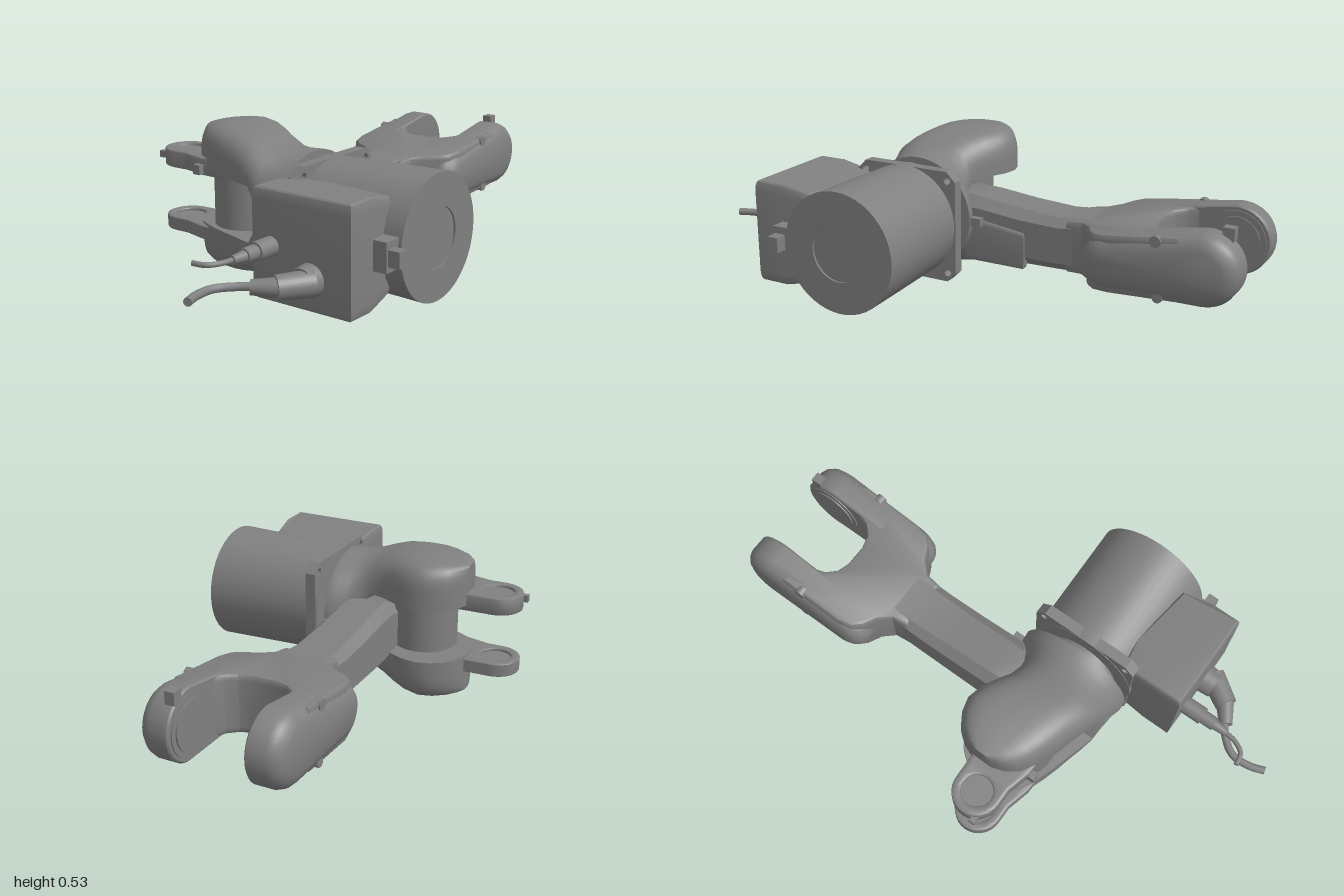
import * as THREE from 'three';
import { toCreasedNormals } from 'three/addons/utils/BufferGeometryUtils.js';

const V = (x, y, z) => new THREE.Vector3(x, y, z);
const MID = 0.265; // height of the symmetry plane
const ARM_Z = -0.063; // centre plane of the arm

// Solid skin over a list of closed rings, capped at both ends
function loft(rings, crease = 0.6) {
  const n = rings[0].length, pts = rings.flat(), idx = [];
  for (let i = 0; i < rings.length - 1; i++) {
    for (let j = 0; j < n; j++) {
      const a = i * n + j, b = i * n + (j + 1) % n;
      idx.push(a, b, b + n, a, b + n, a + n);
    }
  }
  [0, rings.length - 1].forEach((r, end) => {
    const c = V(0, 0, 0);
    rings[r].forEach(p => c.addScaledVector(p, 1 / n));
    pts.push(c);
    for (let j = 0; j < n; j++) {
      const a = r * n + j, b = r * n + (j + 1) % n;
      if (end) idx.push(a, b, pts.length - 1); else idx.push(b, a, pts.length - 1);
    }
  });
  // Turn the skin outwards if its signed volume is negative
  let vol = 0;
  for (let i = 0; i < idx.length; i += 3)
    vol += pts[idx[i]].dot(V(0, 0, 0).crossVectors(pts[idx[i + 1]], pts[idx[i + 2]]));
  if (vol < 0) idx.reverse();
  const g = new THREE.BufferGeometry().setFromPoints(pts);
  g.setIndex(idx);
  return toCreasedNormals(g, crease);
}

// Plan outline [x, z] raised between two height rules, with softened rims
function planSolid(outline, bottom, top, bevel, holes = []) {
  const shape = new THREE.Shape(outline.map(([x, z]) => new THREE.Vector2(x, -z)));
  holes.forEach(([x, z, r]) => shape.holes.push(new THREE.Path().absarc(x, -z, r, 0, Math.PI * 2)));
  const g = new THREE.ExtrudeGeometry(shape, {
    depth: 0.8, bevelThickness: 0.1, bevelSize: bevel, bevelOffset: -bevel, bevelSegments: 3, curveSegments: 24,
  });
  g.rotateX(-Math.PI / 2);
  const p = g.attributes.position;
  for (let i = 0; i < p.count; i++) {
    const x = p.getX(i), b = bottom(x);
    p.setY(i, b + (p.getY(i) + 0.1) * (top(x) - b));
  }
  return toCreasedNormals(g, 0.5);
}

const ramp = (x0, y0, x1, y1) => x => y0 + (y1 - y0) * THREE.MathUtils.clamp((x - x0) / (x1 - x0), 0, 1);

export function createModel() {
  const model = new THREE.Group();
  const grey = new THREE.MeshStandardMaterial({ color: 0x808080 });
  grey.name = 'machine grey';
  const add = (name, geo) => {
    const m = new THREE.Mesh(geo, grey);
    m.name = name;
    model.add(m);
    return m;
  };
  const box = (name, x0, x1, y0, y1, z0, z1) =>
    add(name, new THREE.BoxGeometry(x1 - x0, y1 - y0, z1 - z0))
      .position.set((x0 + x1) / 2, (y0 + y1) / 2, (z0 + z1) / 2);
  const rod = (name, a, b, ra, rb = ra, sides = 32) => {
    const d = b.clone().sub(a);
    const m = add(name, new THREE.CylinderGeometry(rb, ra, d.length(), sides));
    m.position.copy(a).addScaledVector(d, 0.5);
    m.quaternion.setFromUnitVectors(V(0, 1, 0), d.normalize());
  };

  // Base drum with a shallow round recess in its front
  const drum = new THREE.LatheGeometry(
    [[0, 0.12], [0.205, 0.12], [0.216, 0.577], [0.102, 0.577], [0.102, 0.57], [0, 0.57]]
      .map(p => new THREE.Vector2(...p)), 48);
  drum.rotateX(Math.PI / 2);
  add('baseDrum', toCreasedNormals(drum, 0.5)).position.set(-0.243, 0.26, 0);

  // Square mounting flange with bolt holes
  const sq = new THREE.Shape();
  const k = 0.205, c = 0.035;
  [[-k + c, -k], [k - c, -k], [k, -k + c], [k, k - c], [k - c, k], [-k + c, k], [-k, k - c], [-k, -k + c]]
    .forEach(([x, y], i) => (i ? sq.lineTo(x, y) : sq.moveTo(x, y)));
  for (const sx of [-1, 1]) for (const sy of [-1, 1]) {
    sq.holes.push(new THREE.Path().absarc(sx * 0.172, sy * 0.172, 0.013, 0, Math.PI * 2));
  }
  add('mountingFlange', new THREE.ExtrudeGeometry(sq, { depth: 0.04, bevelEnabled: false }))
    .position.set(-0.238, 0.258, 0.122);

  // Connection box beside the drum
  add('connectionBox', planSolid(
    [[-0.632, 0.13], [-0.52, 0.13], [-0.39, 0.135], [-0.37, 0.25], [-0.405, 0.5], [-0.52, 0.515], [-0.632, 0.515]],
    ramp(-0.52, 0.073, -0.39, 0.1), ramp(-0.52, 0.443, -0.39, 0.418), 0.01));
  box('plugBase', -0.52, -0.44, 0.21, 0.31, 0.5, 0.565);
  box('plug', -0.512, -0.472, 0.23, 0.285, 0.5, 0.607);

  // Cable fittings and cables
  rod('powerSocket', V(-0.62, 0.18, 0.36), V(-0.68, 0.18, 0.36), 0.055, 0.05);
  rod('powerElbow', V(-0.65, 0.18, 0.385), V(-0.75, 0.18, 0.32), 0.045, 0.04);
  rod('powerGland', V(-0.735, 0.18, 0.335), V(-0.79, 0.18, 0.255), 0.034, 0.024);
  rod('signalSocket', V(-0.62, 0.26, 0.205), V(-0.71, 0.26, 0.205), 0.032);
  rod('signalCollar', V(-0.70, 0.26, 0.205), V(-0.76, 0.26, 0.205), 0.025);
  rod('signalGland', V(-0.75, 0.26, 0.205), V(-0.81, 0.26, 0.203), 0.02, 0.014);
  const cable = (name, r, ...p) => {
    add(name, new THREE.TubeGeometry(new THREE.CatmullRomCurve3(p), 24, r, 10));
    rod(name + 'End', p[p.length - 1], p[p.length - 1].clone().lerp(p[p.length - 2], 0.02), r);
  };
  cable('powerCable', 0.014, V(-0.77, 0.18, 0.28), V(-0.81, 0.18, 0.22), V(-0.87, 0.18, 0.175),
    V(-0.94, 0.18, 0.175), V(-0.995, 0.18, 0.193));
  cable('signalCable', 0.009, V(-0.8, 0.26, 0.203), V(-0.85, 0.26, 0.195), V(-0.89, 0.26, 0.17), V(-0.9, 0.26, 0.125));

  // Turning neck between base and shoulder
  rod('turningNeck', V(-0.245, MID, 0.16), V(-0.245, MID, 0.04), 0.137, 0.137, 40);
  rod('neckCollar', V(-0.245, MID, 0.105), V(-0.245, MID, 0.085), 0.15, 0.15, 40);
  box('stopTab', -0.05, 0.015, 0.245, 0.275, 0.045, 0.07);

  // Shoulder halves: z, left x, right x, inner height, outer height, squareness
  const stations = [
    [0.08, -0.455, -0.022, 0, 0.21, 2], [0.05, -0.455, -0.025, 0, 0.21, 2],
    [0.02, -0.445, -0.055, 0, 0.21, 2.1], [-0.03, -0.435, -0.088, 0.04, 0.216, 2.4],
    [-0.07, -0.428, -0.1, 0.1, 0.228, 2.7], [-0.12, -0.415, -0.09, 0.1, 0.245, 3],
    [-0.17, -0.4, -0.064, 0.1, 0.256, 3.3], [-0.22, -0.387, -0.04, 0.1, 0.262, 3.6],
    [-0.28, -0.368, -0.03, 0.1, 0.265, 4], [-0.33, -0.35, -0.043, 0.1, 0.262, 4],
    [-0.375, -0.325, -0.072, 0.1, 0.256, 4], [-0.405, -0.285, -0.11, 0.1, 0.25, 4],
    [-0.422, -0.235, -0.155, 0.1, 0.245, 4],
  ];
  for (const s of [1, -1]) {
    const rings = stations.map(([z, l, r, yi, yo, n]) => {
      const ring = [];
      for (let i = 0; i <= 24; i++) {
        const a = Math.PI * i / 24, co = Math.cos(a), si = Math.abs(Math.sin(a));
        ring.push(V((l + r) / 2 + (r - l) / 2 * Math.sign(co) * Math.abs(co) ** (2 / n),
          MID + s * (yi + (yo - yi) * si ** (2 / n)), z));
      }
      return ring;
    });
    add(s > 0 ? 'shoulderUpperLobe' : 'shoulderLowerLobe', loft(rings, 0.7));
  }
  rod('shoulderCap', V(-0.19, 0.02, -0.27), V(-0.19, 0, -0.27), 0.06, 0.06);
  rod('drainPlug', V(-0.24, 0.06, -0.01), V(-0.24, 0.02, -0.01), 0.018);

  // Wrist yoke held between the shoulder lobes
  rod('yokeHub', V(-0.235, 0.15, -0.235), V(-0.235, 0.38, -0.235), 0.12, 0.12, 40);
  const yoke = [[-0.355, -0.22], [-0.352, -0.36], [-0.33, -0.45]];
  for (let i = 0; i <= 16; i++) {
    const a = Math.PI * i / 16;
    yoke.push([-0.245 - 0.086 * Math.cos(a), -0.513 - 0.088 * Math.sin(a)]);
  }
  yoke.push([-0.155, -0.4], [-0.14, -0.22]);
  for (const s of [1, -1]) {
    const lo = s > 0 ? 0.343 : 0.103, hi = s > 0 ? 0.41 : 0.157;
    add('yokeProng', planSolid(yoke, () => lo, () => hi, 0.012, [[-0.245, -0.513, 0.055]]));
    rod('yokeBearing', V(-0.245, lo + 0.012, -0.513), V(-0.245, hi - 0.012, -0.513), 0.057);
  }
  box('yokeNub', -0.302, -0.28, 0.365, 0.39, -0.608, -0.58);
  box('yokeSideNub', -0.375, -0.345, 0.35, 0.385, -0.37, -0.34);

  // Arm shank: x, bottom, top, chamfer
  const shank = [[-0.2, 0.16, 0.32, 0.04], [-0.1, 0.12, 0.345, 0.04], [0, 0.115, 0.338, 0.035],
    [0.15, 0.115, 0.322, 0.035], [0.3, 0.12, 0.311, 0.03], [0.42, 0.124, 0.322, 0.03]];
  add('armShank', loft(shank.map(([x, b, t, h]) => {
    const w = 0.103;
    return [[-w + h, b], [w - h, b], [w, b + h], [w, t - h], [w - h, t], [-w + h, t], [-w, t - h], [-w, b + h]]
      .map(([z, y]) => V(x, y, ARM_Z + z));
  }), 0.4));
  add('armCover', planSolid([[-0.06, 0], [0.15, 0], [0.18, 0.02], [0.18, 0.048], [-0.06, 0.048]],
    () => 0.105, ramp(0, 0.27, 0.18, 0.24), 0.008));

  // Fork root that widens from the shank
  const half = [[0.34, 0.1], [0.4, 0.107], [0.44, 0.145], [0.465, 0.195], [0.495, 0.225], [0.55, 0.238], [0.8, 0.24],
    [0.8, 0.133], [0.745, 0.133], [0.7, 0.118], [0.668, 0.085], [0.655, 0.04]];
  const fork = [...half.map(([x, d]) => [x, ARM_Z + d]), ...half.map(([x, d]) => [x, ARM_Z - d]).reverse()];
  add('forkRoot', planSolid(fork, ramp(0.34, 0.123, 0.8, 0.148), ramp(0.34, 0.312, 0.8, 0.37), 0.012));

  // Fork prongs: domed capsules with a bearing disc inside
  const capsule = (inset, z) => {
    const ring = [];
    for (const [cx, cy, r, start] of [[0.872, 0.263, 0.125, -85], [0.55, 0.233, 0.1, 100]]) {
      for (let i = 0; i <= 20; i++) {
        const a = THREE.MathUtils.degToRad(start + 9 * i);
        ring.push(V(cx + (r - inset) * Math.cos(a), cy + (r - inset) * Math.sin(a), z));
      }
    }
    return ring;
  };
  for (const s of [1, -1]) {
    const z = d => ARM_Z + s * d;
    add('forkProng', loft([[0.006, 0.131], [0, 0.137], [0, 0.2], [0.008, 0.222], [0.024, 0.239], [0.05, 0.25]]
      .map(([inset, d]) => capsule(inset, z(d))), 0.7));
    rod('bearingRim', V(0.872, 0.263, z(0.15)), V(0.872, 0.263, z(0.127)), 0.108, 0.108, 40);
    rod('bearingDisc', V(0.872, 0.263, z(0.15)), V(0.872, 0.263, z(0.122)), 0.088, 0.088, 40);
    rod('upperScrew', V(0.72, 0.345, z(0.215)), V(0.72, 0.345, z(0.244)), 0.02);
    rod('lowerScrew', V(0.735, 0.155, z(0.215)), V(0.735, 0.155, z(0.242)), 0.018);
  }
  box('prongNub', 0.915, 0.955, 0.36, 0.405, 0.065, 0.1);

  return model;
}
